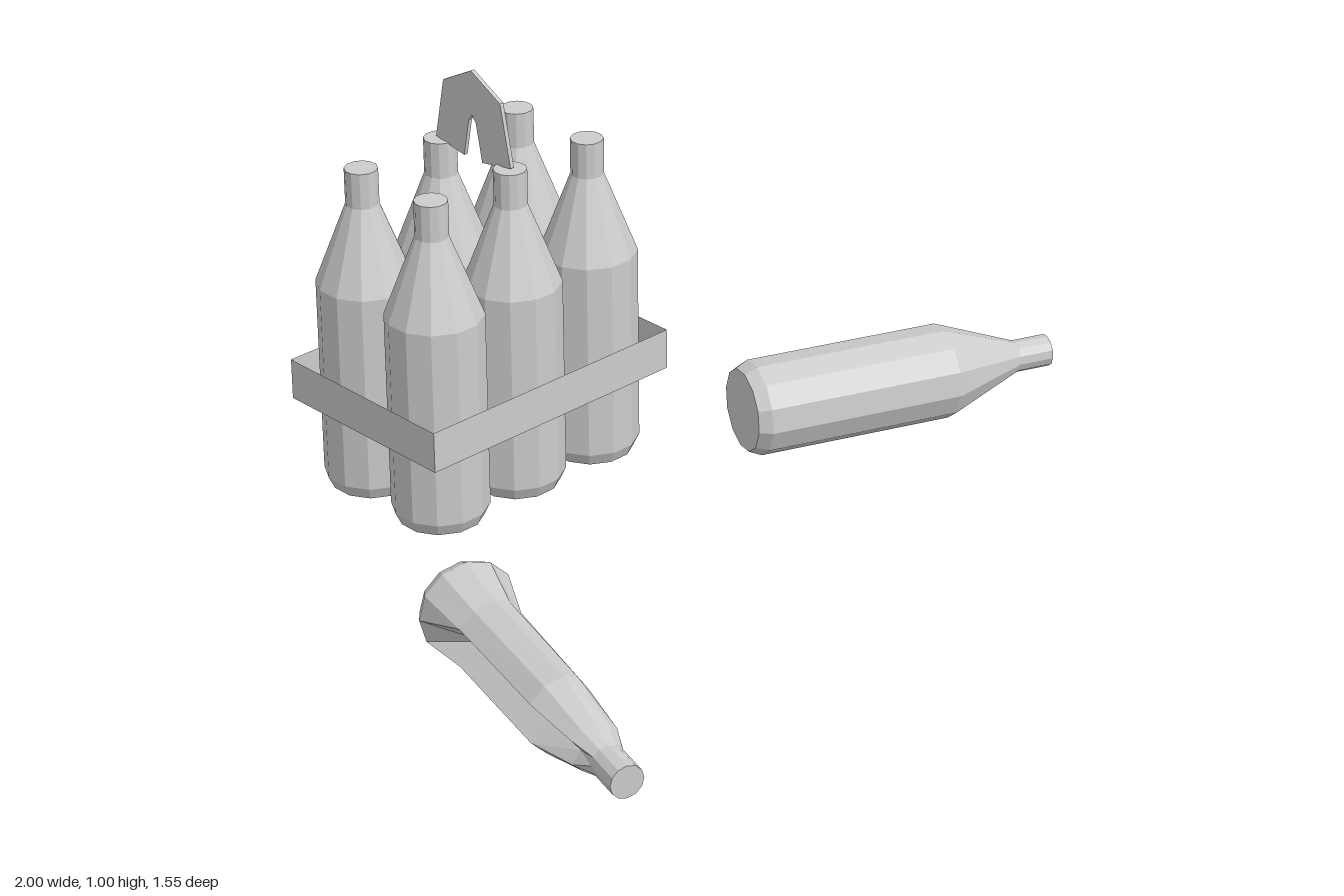
import * as THREE from 'three';

const SIDES = 12;

// Bottle outline: [radius, height along the axis]
const BOTTLE = [[0, 0], [0.098, 0], [0.112, 0.03], [0.112, 0.505], [0.038, 0.695], [0.038, 0.78], [0, 0.78]];

function lathe(profile, phi) {
  return new THREE.LatheGeometry(profile.map(([r, y]) => new THREE.Vector2(r, y)), SIDES, phi);
}

// Lathe whose middle rings are squeezed sideways and grooved along both sides
function crushedGeometry() {
  const profile = [[0, 0], [0.098, 0], [0.112, 0.03], [0.112, 0.17], [0.112, 0.5],
    [0.062, 0.635], [0.038, 0.695], [0.038, 0.78], [0, 0.78]];
  // ring index: squeeze on -x, squeeze on +x, vertical squeeze, groove half width
  const dents = {
    3: [0.85, 0.62, 0.82, 0.025],
    4: [0.8, 0.55, 0.82, 0.022],
    5: [0.95, 0.95, 0.9, 0.03],
  };
  const geo = lathe(profile, 0);
  const pos = geo.attributes.position;
  for (let i = 0; i < pos.count; i++) {
    const dent = dents[i % profile.length];
    if (!dent) continue;
    const [left, right, tall, groove] = dent;
    const x = pos.getX(i), z = pos.getZ(i);
    const inGroove = Math.abs(z) < 0.005;
    pos.setX(i, inGroove ? Math.sign(x) * groove : x * (x > 0 ? right : left));
    pos.setZ(i, z * tall);
  }
  return geo;
}

export function createModel() {
  const model = new THREE.Group();
  const grey = new THREE.MeshStandardMaterial({ color: 0xcccccc, flatShading: true, side: THREE.DoubleSide });
  grey.name = 'plain grey';

  const add = (name, geo, parent = model) => {
    const mesh = new THREE.Mesh(geo, grey);
    mesh.name = name;
    parent.add(mesh);
    return mesh;
  };

  // Six-bottle carrier
  const carrier = new THREE.Group();
  carrier.name = 'carrier';
  model.add(carrier);
  const bottleGeo = lathe(BOTTLE, Math.PI / SIDES);
  for (const x of [-0.423, -0.192, 0.039]) {
    for (const z of [-0.648, -0.415]) {
      add('standingBottle', bottleGeo, carrier).position.set(x, 0.028, z);
    }
  }

  // Open band around the bottles
  const bandY = 0.281, bandH = 0.098, cx = -0.193, cz = -0.53, hx = 0.353, hz = 0.244;
  for (const s of [-1, 1]) {
    const long = add('bandLongSide', new THREE.PlaneGeometry(hx * 2, bandH), carrier);
    long.position.set(cx, bandY, cz + s * hz);
    long.rotation.y = s > 0 ? 0 : Math.PI;
    const short = add('bandShortSide', new THREE.PlaneGeometry(hz * 2, bandH), carrier);
    short.position.set(cx + s * hx, bandY, cz);
    short.rotation.y = s * Math.PI / 2;
  }

  // Arched carrying handle: thin upright plate, outline in (z offset, y)
  const half = [[0, 1.008], [0.094, 0.958], [0.124, 0.812], [0.03, 0.795], [0.012, 0.885]];
  const outline = [...half, [0, 0.902], ...half.slice(1).reverse().map(([a, y]) => [-a, y])];
  const handleGeo = new THREE.ExtrudeGeometry(
    new THREE.Shape(outline.map(([a, y]) => new THREE.Vector2(a, y))),
    { depth: 0.01, bevelEnabled: false });
  const handle = add('handle', handleGeo, carrier);
  handle.rotation.y = -Math.PI / 2;
  handle.position.set(cx + 0.005, 0, cz);

  // Whole bottle lying on its side
  const lying = add('lyingBottle', lathe(BOTTLE, Math.PI / SIDES));
  lying.position.set(0.26, 0.14, -0.14);
  lying.quaternion.setFromUnitVectors(new THREE.Vector3(0, 1, 0), new THREE.Vector3(0.928, 0, 0.373).normalize());

  // Crushed bottle lying on its side
  const crushed = add('crushedBottle', crushedGeometry());
  const along = new THREE.Vector3(-0.288, 0, 0.958).normalize();
  const across = new THREE.Vector3(along.z, 0, -along.x);
  crushed.quaternion.setFromRotationMatrix(
    new THREE.Matrix4().makeBasis(across, along, new THREE.Vector3(0, -1, 0)));
  crushed.position.set(-0.739, 0.115, 0.015);

  return model;
}
